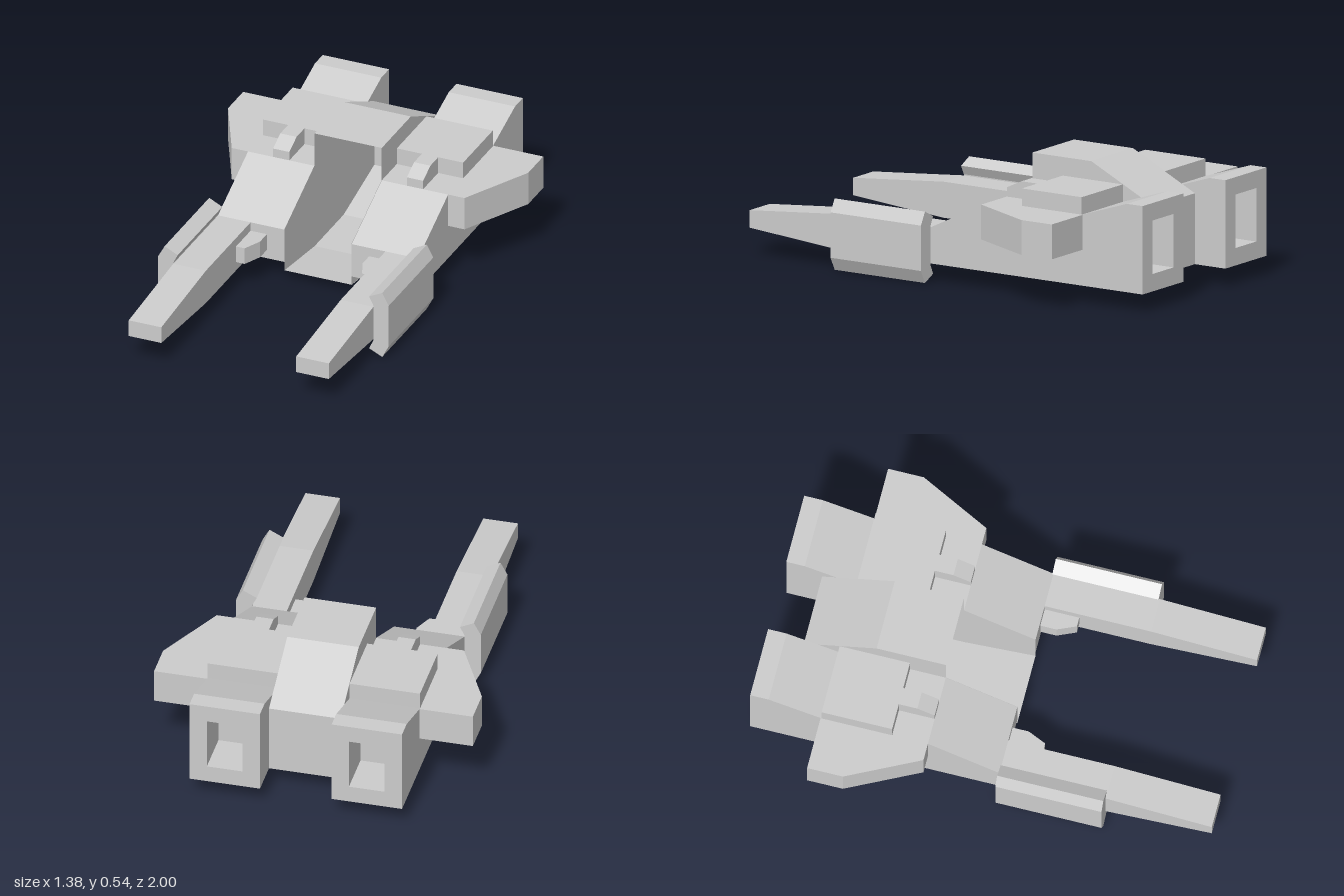
import * as THREE from 'three';

const grey = new THREE.MeshStandardMaterial({ color: 0xcccccc, flatShading: true });
const thin = new THREE.MeshStandardMaterial({ color: 0xcccccc, flatShading: true, side: THREE.DoubleSide });

const shapeOf = (points) => new THREE.Shape(points.map(([a, b]) => new THREE.Vector2(a, b)));
const extrude = (points, depth) =>
  new THREE.ExtrudeGeometry(shapeOf(points), { depth, bevelEnabled: false });

function add(parent, name, geometry, material = grey) {
  const mesh = new THREE.Mesh(geometry, material);
  mesh.name = name;
  parent.add(mesh);
}

// Side profile of [z, y] points, extruded between two x positions
function alongX(points, xa, xb) {
  return extrude(points, Math.abs(xb - xa)).rotateY(-Math.PI / 2).translate(Math.max(xa, xb), 0, 0);
}

// Plan outline of [x, z] points, extruded between two heights
function alongY(points, y0, y1) {
  return extrude(points, y1 - y0).rotateX(Math.PI / 2).translate(0, y1, 0);
}

// Sheet that follows a [z, y] path across the width of the hull
function sheet(path, halfWidth) {
  const pos = [], index = [];
  path.forEach(([z, y], i) => {
    pos.push(-halfWidth, y, z, halfWidth, y, z);
    if (i) {
      const a = 2 * i - 2;
      index.push(a, a + 1, a + 2, a + 1, a + 3, a + 2);
    }
  });
  const g = new THREE.BufferGeometry();
  g.setAttribute('position', new THREE.Float32BufferAttribute(pos, 3));
  g.setIndex(index);
  const flat = g.toNonIndexed();
  flat.computeVertexNormals();
  return flat;
}

const HULL = 0.155; // half width of the central hull
const OUT = 0.46;   // outer face of the nacelles

function createCentre() {
  const centre = new THREE.Group();
  centre.name = 'centralHull';
  // Shell with an open front: belly, rear wall, sloping roof
  const path = [[0.08, 0.04], [-0.23, 0], [-0.53, 0], [-0.845, 0.08],
    [-0.845, 0.385], [-0.53, 0.54], [-0.23, 0.54]];
  add(centre, 'hullShell', sheet(path, HULL), thin);
  // Side walls close the shell above and below the nacelles
  const walls = [...path, [-0.23, 0.385], [0.08, 0.235]];
  for (const s of [-1, 1]) {
    const g = new THREE.ShapeGeometry(shapeOf(walls)).rotateY(-Math.PI / 2);
    add(centre, 'hullSide', g.translate(s * (HULL - 0.001), 0, 0), thin);
  }
  return centre;
}

function createSide(s) {
  const side = new THREE.Group();
  side.name = s > 0 ? 'leftSide' : 'rightSide';
  const flip = (points) => points.map(([x, v]) => [s * x, v]);

  // Nacelle: two outer slabs and a notched core that leaves the exhaust opening
  const top = [[-1, 0.46], [-0.92, 0.46], [-0.69, 0.385], [-0.23, 0.385], [0.08, 0.235], [0.08, 0.08], [-1, 0.08]];
  const notch = [[-1, 0.155], [-0.8, 0.155], [-0.8, 0.385], [-1, 0.385]];
  add(side, 'nacelleInnerWall', alongX(top, s * HULL, s * 0.23));
  add(side, 'nacelleCore', alongX([...top, ...notch], s * 0.23, s * 0.385));
  add(side, 'nacelleOuterWall', alongX(top, s * 0.385, s * OUT));

  // Raised deck with a small sloped nub in front
  add(side, 'deckBlock', alongX([[-0.69, 0.385], [-0.385, 0.385], [-0.385, 0.46], [-0.69, 0.46]], s * HULL, s * OUT));
  add(side, 'deckNub', alongX([[-0.385, 0.385], [-0.23, 0.385], [-0.23, 0.425], [-0.305, 0.46], [-0.385, 0.46]],
    s * 0.27, s * 0.345));

  // Stub wing
  add(side, 'wing', alongY(flip([[OUT, -0.695], [0.69, -0.695], [0.69, -0.54], [0.535, -0.23], [OUT, -0.23]]), 0.235, 0.385));

  // Forward prong with tapering tip, and the peg on its inner face
  add(side, 'prong', alongX([[0.08, 0.08], [0.54, 0.08], [1, 0.12], [1, 0.195], [0.54, 0.235], [0.08, 0.235]],
    s * 0.31, s * OUT));
  add(side, 'peg', alongY(flip([[0.31, 0.08], [0.235, 0.08], [0.235, 0.15], [0.27, 0.23], [0.31, 0.23]]), 0.12, 0.195));

  // Bent armour plate on the outside of the prong
  const plate = [[0.44, 0.28], [0.5, 0.31], [0.53, 0.255], [0.53, 0.06], [0.5, 0.003], [0.44, 0.032], [OUT, 0.075], [OUT, 0.24]];
  add(side, 'armourPlate', extrude(flip(plate), 0.46).translate(0, 0, 0.08));
  return side;
}

export function createModel() {
  const model = new THREE.Group();
  model.name = 'spacecraft';
  model.add(createCentre(), createSide(1), createSide(-1));
  return model;
}
